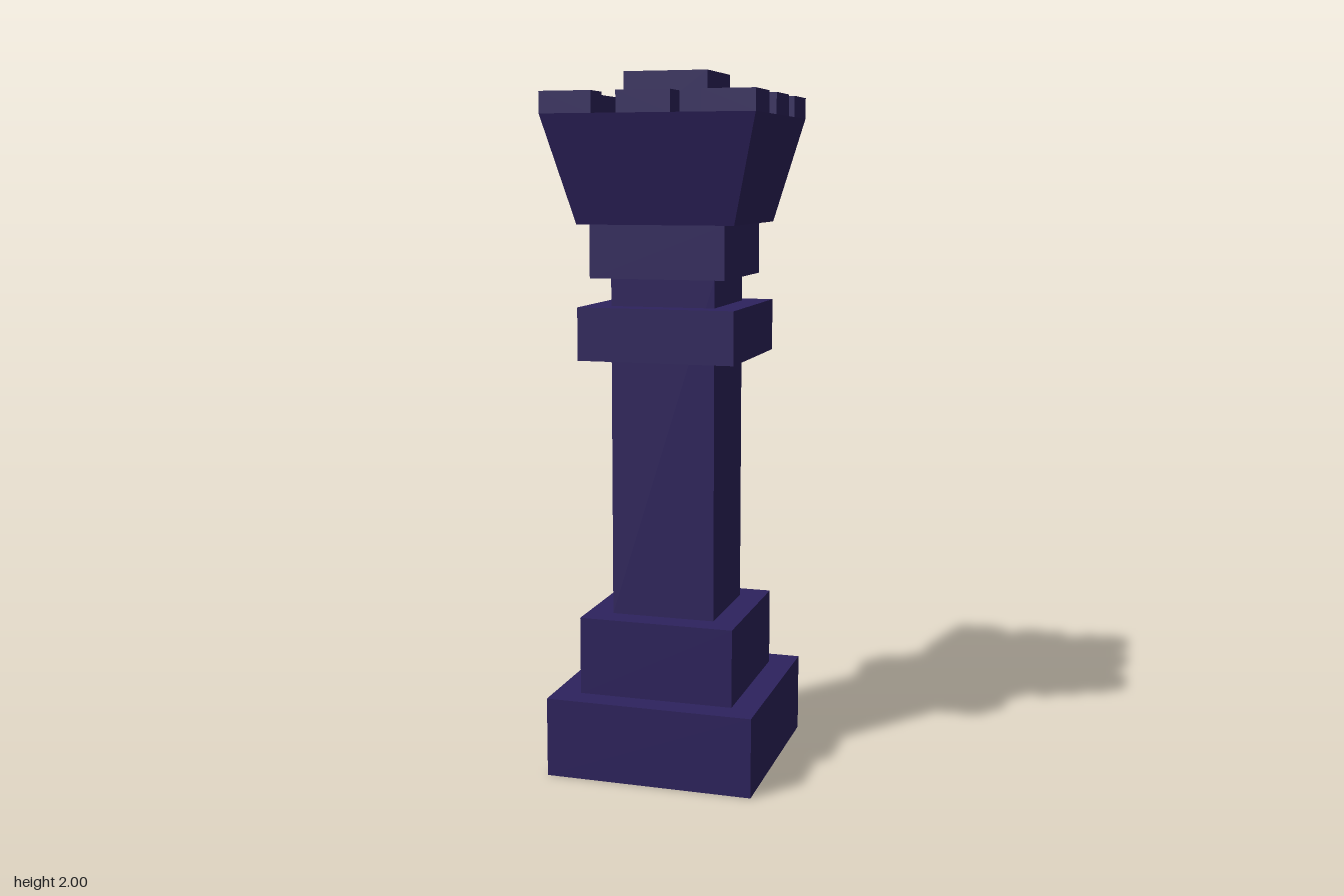
import * as THREE from 'three';

export function createModel() {
  const group = new THREE.Group();
  const indigo = new THREE.MeshStandardMaterial({ color: 0x2e235e });
  indigo.name = 'dark indigo';

  const add = (name, geometry) => {
    const mesh = new THREE.Mesh(geometry, indigo);
    mesh.name = name;
    group.add(mesh);
    return mesh;
  };

  // Square block given by its width and its bottom and top heights
  const block = (name, width, y0, y1, x = 0, z = 0) =>
    add(name, new THREE.BoxGeometry(width, y1 - y0, width)).position.set(x, (y0 + y1) / 2, z);

  block('basePlinth', 0.604, 0, 0.23);
  block('baseStep', 0.452, 0.23, 0.455);
  block('shaft', 0.302, 0.455, 1.43);
  block('collar', 0.452, 1.2, 1.35);
  block('neck', 0.39, 1.43, 1.58, -0.003, 0.003);
  block('crownBlock', 0.242, 1.82, 2, -0.001, -0.001);

  // Flared head with a shallow recess in its top: four-sided lathe, half-widths and heights
  const outer = 0.303, inner = 0.214;
  const profile = [[0, 1.58], [0.226, 1.58], [outer, 1.88], [inner, 1.88], [inner, 1.82], [0, 1.82]]
    .map(([r, y]) => new THREE.Vector2(r * Math.SQRT2, y));
  const head = new THREE.LatheGeometry(profile, 4, Math.PI / 4).toNonIndexed();
  head.computeVertexNormals();
  add('head', head);

  // Battlements standing on the rim, drawn in plan and raised
  const battlement = (name, points, angle) => {
    const shape = new THREE.Shape(points.map(([x, y]) => new THREE.Vector2(x, y)));
    const geometry = new THREE.ExtrudeGeometry(shape, { depth: 0.06, bevelEnabled: false });
    geometry.rotateX(-Math.PI / 2).rotateY(angle).translate(0, 1.88, 0);
    add(name, geometry);
  };
  const gap = 0.153;
  const corner = [[gap, inner], [inner, inner], [inner, gap], [outer, gap], [outer, outer], [gap, outer]];
  for (let i = 0; i < 4; i++) {
    // Middle pieces sit slightly off centre, the same way on opposite sides
    const shift = i === 0 || i === 3 ? -0.007 : 0.007;
    const a = shift - 0.076, b = shift + 0.076;
    battlement('cornerBattlement', corner, i * Math.PI / 2);
    battlement('middleBattlement', [[a, inner], [b, inner], [b, outer], [a, outer]], i * Math.PI / 2);
  }
  return group;
}
